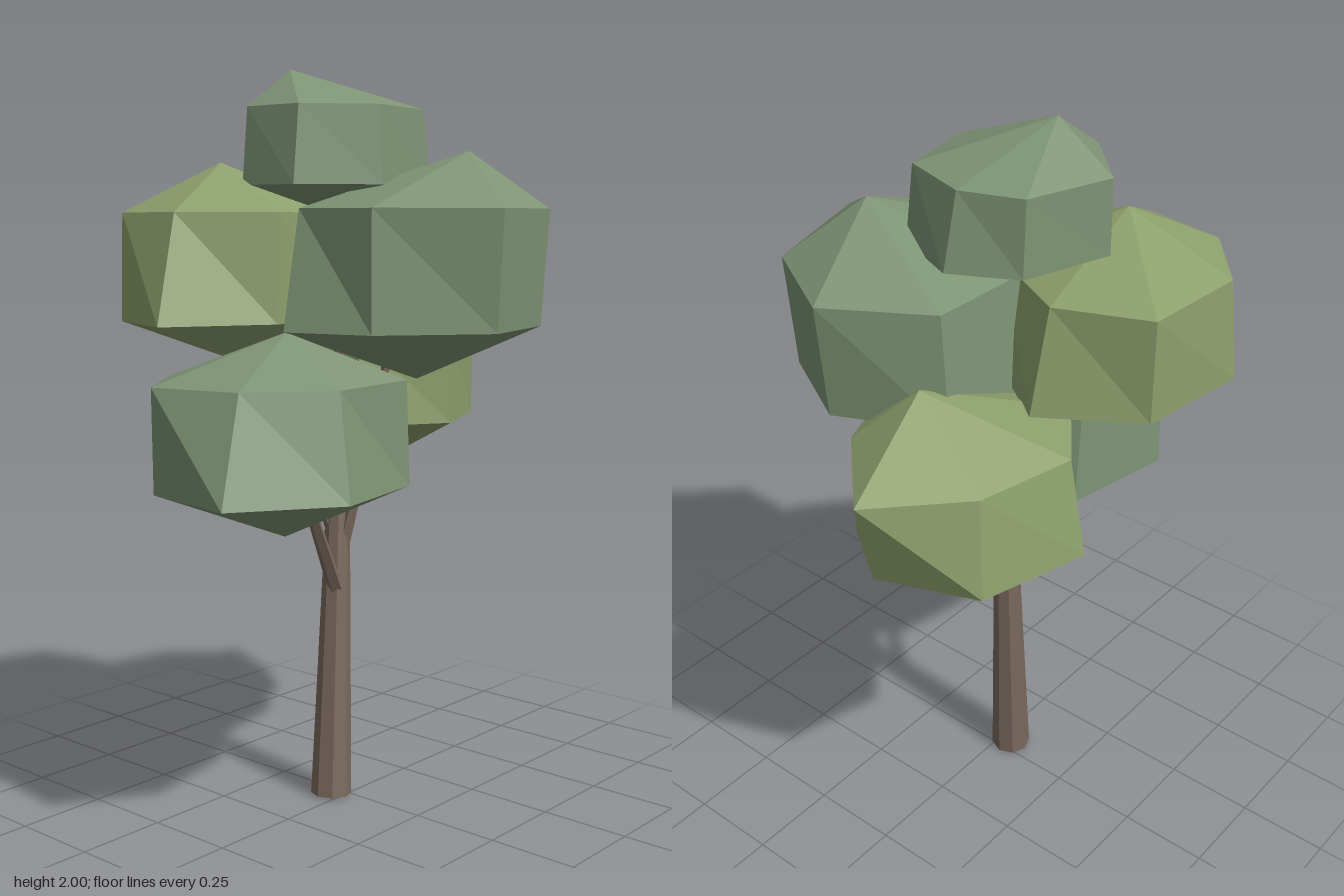
import * as THREE from 'three';

const material = (color) =>
  new THREE.MeshStandardMaterial({ color, flatShading: true });

// Faceted foliage clump: top point, two seven-sided rings of [x, z], bottom point
function clump(name, mat, top, upperY, upper, lowerY, lower, bottom) {
  const n = upper.length;
  const a = upper.map(([x, z]) => [x, upperY, z]);
  const b = lower.map(([x, z]) => [x, lowerY, z]);
  const pos = [];
  for (let i = 0; i < n; i++) {
    const j = (i + 1) % n;
    pos.push(...top, ...a[i], ...a[j]);
    pos.push(...a[i], ...b[i], ...b[j], ...a[i], ...b[j], ...a[j]);
    pos.push(...b[i], ...bottom, ...b[j]);
  }
  const geo = new THREE.BufferGeometry();
  geo.setAttribute('position', new THREE.Float32BufferAttribute(pos, 3));
  geo.computeVertexNormals();
  const mesh = new THREE.Mesh(geo, mat);
  mesh.name = name;
  return mesh;
}

// Tapered limb between two points
function limb(name, mat, from, to, r0, r1, sides) {
  const p = new THREE.Vector3(...from);
  const q = new THREE.Vector3(...to);
  const dir = q.clone().sub(p);
  const mesh = new THREE.Mesh(new THREE.CylinderGeometry(r1, r0, dir.length(), sides), mat);
  mesh.position.copy(p).add(q).multiplyScalar(0.5);
  mesh.quaternion.setFromUnitVectors(new THREE.Vector3(0, 1, 0), dir.normalize());
  mesh.name = name;
  return mesh;
}

export function createModel() {
  const tree = new THREE.Group();
  tree.name = 'tree';
  const bark = material(0x7a6a5e);
  const green = material(0x7d9474);
  const lightGreen = material(0x8d9f6c);

  // Leaning trunk and thin branches
  tree.add(
    limb('trunk', bark, [-0.035, 0.003, -0.035], [0.045, 1.4, -0.06], 0.057, 0.017, 8),
    limb('rightBranch', bark, [0, 0.57, -0.04], [-0.28, 1.0, 0.06], 0.023, 0.012, 5),
    limb('leftBranch', bark, [0.01, 0.66, -0.05], [0.24, 1.1, -0.12], 0.023, 0.012, 5),
    limb('backBranch', bark, [0.01, 0.72, -0.05], [-0.15, 1.36, -0.18], 0.022, 0.011, 5),
    limb('frontBranch', bark, [0.01, 0.68, -0.04], [0.07, 1.3, 0.1], 0.022, 0.011, 5),
    limb('topBranch', bark, [0.045, 1.38, -0.06], [-0.04, 1.7, -0.05], 0.017, 0.01, 5)
  );

  // Foliage clumps
  tree.add(
    clump('topFoliage', green, [-0.13, 2, -0.09],
      1.9, [[-0.1, 0.19], [0.13, 0.15], [0.19, -0.04], [0.13, -0.2], [-0.1, -0.28], [-0.26, -0.12], [-0.26, 0.06]],
      1.7, [[-0.1, 0.2], [0.15, 0.16], [0.23, -0.03], [0.14, -0.2], [-0.1, -0.28], [-0.27, -0.13], [-0.28, 0.06]],
      [-0.04, 1.61, -0.05]),
    clump('frontFoliage', green, [0.16, 1.79, 0.28],
      1.64, [[-0.03, 0.53], [0.32, 0.43], [0.47, 0.17], [0.31, -0.09], [0, -0.1], [-0.25, 0.05], [-0.26, 0.3]],
      1.33, [[-0.01, 0.5], [0.3, 0.42], [0.44, 0.17], [0.31, -0.11], [0, -0.12], [-0.32, 0.06], [-0.26, 0.3]],
      [0.07, 1.19, 0.18]),
    clump('backFoliage', lightGreen, [-0.26, 1.76, -0.22],
      1.63, [[-0.32, 0.05], [-0.03, 0], [0.1, -0.25], [0, -0.49], [-0.3, -0.51], [-0.49, -0.35], [-0.52, -0.12]],
      1.35, [[-0.33, 0.05], [-0.02, 0.02], [0.16, -0.24], [0, -0.49], [-0.32, -0.53], [-0.5, -0.35], [-0.6, -0.1]],
      [-0.2, 1.23, -0.22]),
    clump('rightFoliage', green, [-0.31, 1.33, 0.06],
      1.21, [[-0.41, 0.33], [-0.12, 0.3], [0.02, 0.07], [-0.12, -0.2], [-0.42, -0.25], [-0.66, -0.06], [-0.6, 0.18]],
      0.94, [[-0.43, 0.38], [-0.12, 0.31], [0.02, 0.08], [-0.1, -0.2], [-0.42, -0.26], [-0.64, -0.08], [-0.69, 0.21]],
      [-0.34, 0.81, 0.08]),
    clump('leftFoliage', lightGreen, [0.36, 1.45, -0.06],
      1.31, [[0.25, 0.16], [0.46, 0.08], [0.68, -0.14], [0.47, -0.34], [0.2, -0.4], [0, -0.25], [0.03, 0]],
      1.05, [[0.25, 0.16], [0.48, 0.06], [0.6, -0.11], [0.5, -0.37], [0.2, -0.45], [0, -0.26], [0.04, 0.03]],
      [0.28, 0.91, -0.12])
  );
  return tree;
}
